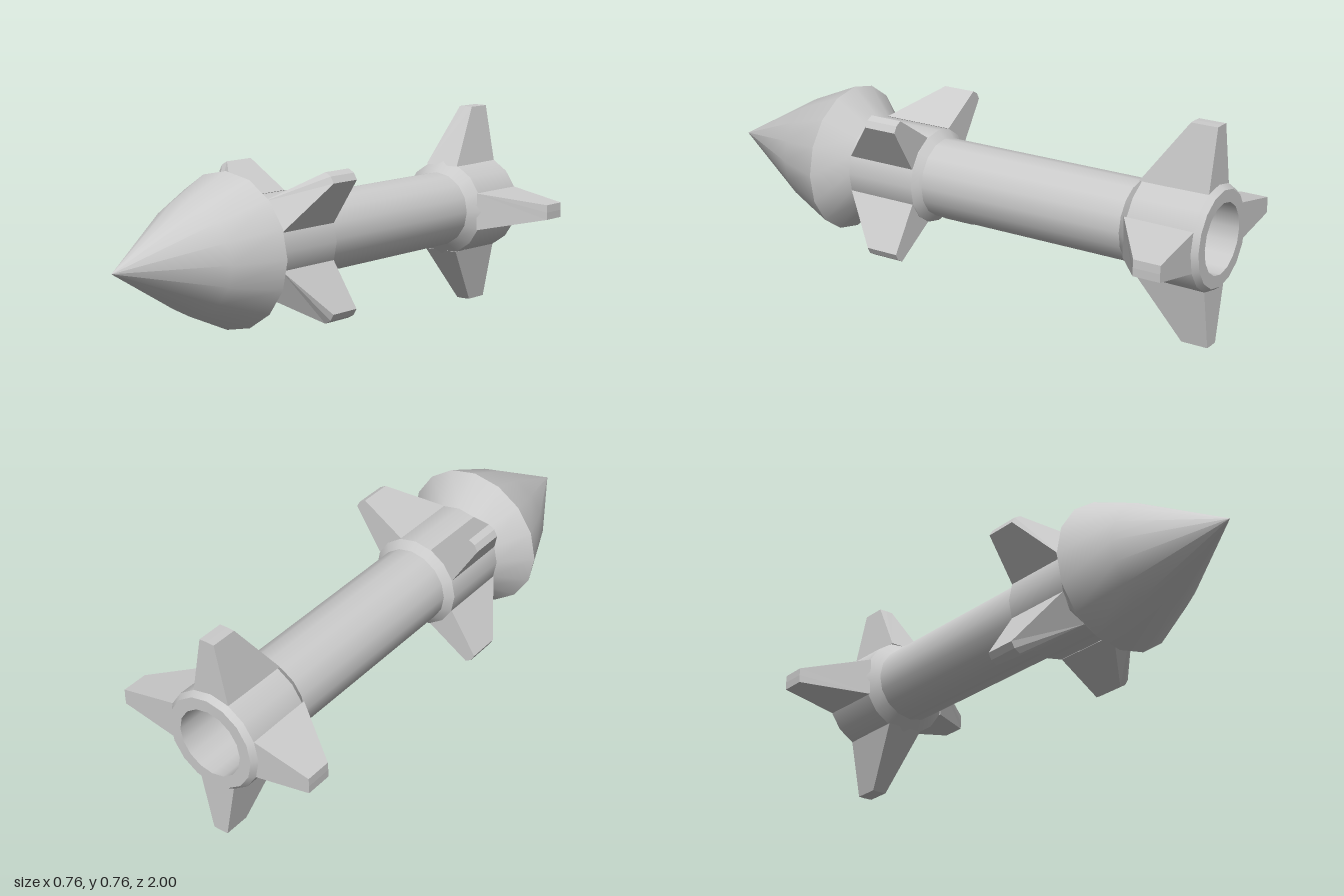
import * as THREE from 'three';

const SIDES = 16;
const AXIS_Y = 0.378;

export function createModel() {
  const model = new THREE.Group();
  const material = new THREE.MeshStandardMaterial({ color: 0xcccccc });

  // Turned part along z from [radius, z] points; each profile is smooth within itself
  function turned(name, profile) {
    const points = profile.map(([r, z]) => new THREE.Vector2(r, z));
    const geometry = new THREE.LatheGeometry(points, SIDES).rotateX(Math.PI / 2);
    // Lathe seam and axis direction: local y now runs along +z
    const mesh = new THREE.Mesh(geometry, material);
    mesh.name = name;
    mesh.position.y = AXIS_Y;
    model.add(mesh);
  }

  // Tapered fin pointing up, with a flat back and a swept leading face
  function finGeometry({ rootR, rootW, tipR, tipW, crownR, back, rootZ, tipZ }) {
    const shape = new THREE.Shape([
      new THREE.Vector2(-rootW, rootR),
      new THREE.Vector2(rootW, rootR),
      new THREE.Vector2(tipW, tipR),
      new THREE.Vector2(0, crownR),
      new THREE.Vector2(-tipW, tipR),
    ]);
    const geometry = new THREE.ExtrudeGeometry(shape, { depth: 1, bevelEnabled: false });
    const p = geometry.attributes.position;
    for (let i = 0; i < p.count; i++) {
      const t = Math.min(1, (p.getY(i) - rootR) / (tipR - rootR));
      p.setZ(i, p.getZ(i) > 0.5 ? THREE.MathUtils.lerp(rootZ, tipZ, t) : back);
    }
    geometry.computeVertexNormals();
    return geometry;
  }

  // Four fins spaced evenly around the axis
  function finSet(name, geometry, startAngle) {
    const set = new THREE.Group();
    set.name = name + 's';
    set.position.y = AXIS_Y;
    for (let i = 0; i < 4; i++) {
      const fin = new THREE.Mesh(geometry, material);
      fin.name = name;
      fin.rotation.z = startAngle + i * Math.PI / 2;
      set.add(fin);
    }
    model.add(set);
  }

  // Hollow tail
  turned('nozzleFloor', [[0, -0.75], [0.122, -0.75]]);
  turned('nozzleWall', [[0.122, -0.75], [0.122, -1]]);
  turned('tailRim', [[0.122, -1], [0.165, -1]]);
  turned('tailBevel', [[0.165, -1], [0.18, -0.98]]);
  turned('tailSleeve', [[0.18, -0.98], [0.178, -0.74]]);
  turned('tailShoulder', [[0.178, -0.74], [0.14, -0.7]]);

  // Shaft and collar
  turned('shaft', [[0.14, -0.7], [0.14, 0.085]]);
  turned('collarBevel', [[0.14, 0.085], [0.168, 0.11]]);
  turned('collar', [[0.168, 0.11], [0.168, 0.38]]);

  // Nose
  turned('noseBase', [[0.168, 0.38], [0.266, 0.48]]);
  turned('nose', [[0.266, 0.48], [0.19, 0.66], [0, 1]]);

  // Upright cross of tail fins
  finSet('tailFin', finGeometry({
    rootR: 0.164, rootW: 0.07, tipR: 0.377, tipW: 0.028, crownR: 0.378,
    back: -0.98, rootZ: -0.73, tipZ: -0.885,
  }), 0);

  // Diagonal front fins with crowned tips
  finSet('frontFin', finGeometry({
    rootR: 0.156, rootW: 0.065, tipR: 0.337, tipW: 0.025, crownR: 0.344,
    back: 0.112, rootZ: 0.38, tipZ: 0.235,
  }), Math.PI / 4);

  return model;
}
